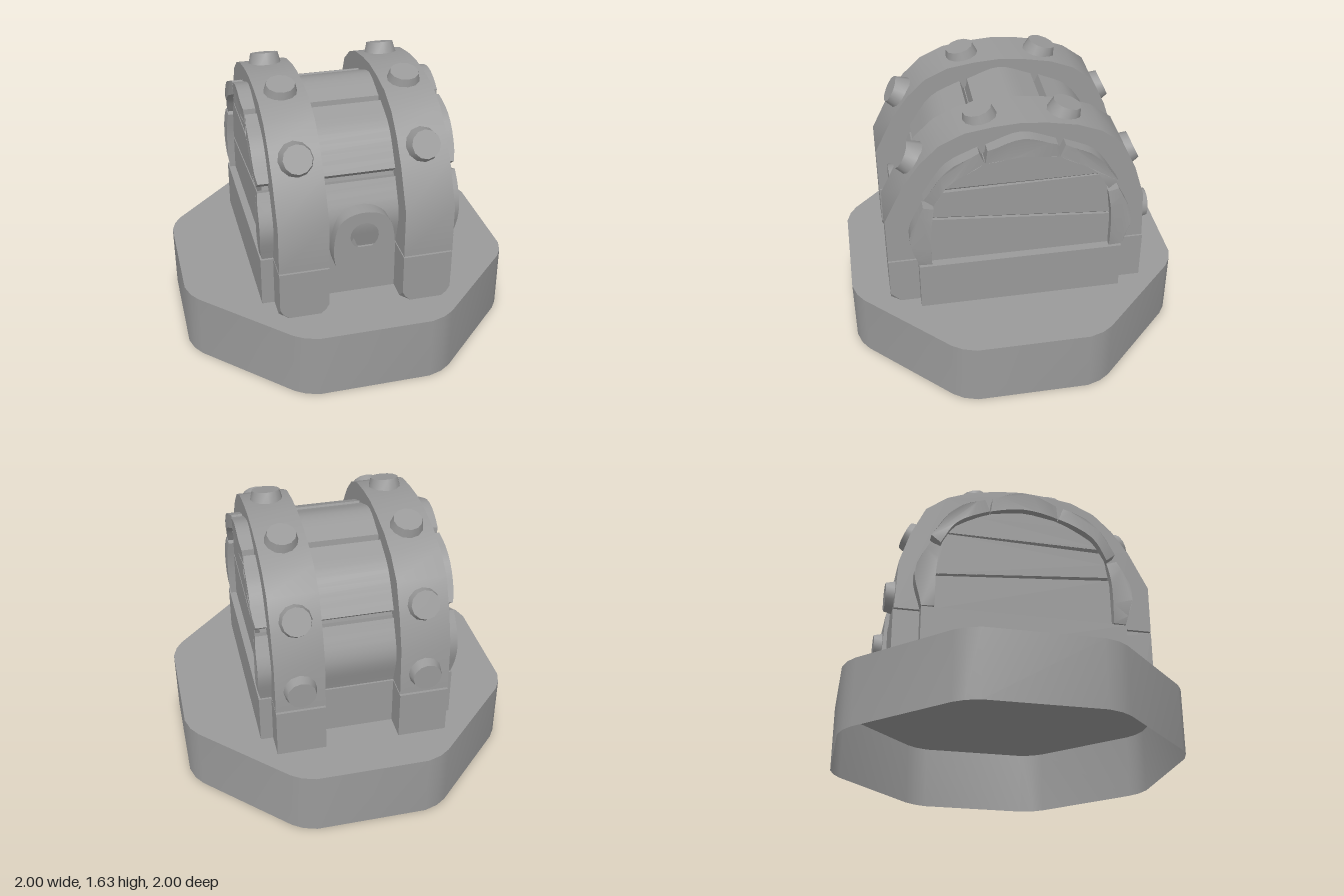
import * as THREE from 'three';
import { toCreasedNormals } from 'three/addons/utils/BufferGeometryUtils.js';
import { ConvexGeometry } from 'three/addons/geometries/ConvexGeometry.js';

const material = new THREE.MeshStandardMaterial({ color: 0x9a9a9a });
const shell = new THREE.MeshStandardMaterial({ color: 0x9a9a9a, side: THREE.DoubleSide });

function add(group, name, geometry, mat = material) {
  const mesh = new THREE.Mesh(geometry, mat);
  mesh.name = name;
  group.add(mesh);
  return mesh;
}

// Extrudes a [z, y] profile along x, symmetric about x = centre.
function extrudeX(points, centre, halfWidth) {
  const shape = new THREE.Shape(points.map(([z, y]) => new THREE.Vector2(-z, y)));
  const geometry = new THREE.ExtrudeGeometry(shape, { depth: 2 * halfWidth, bevelEnabled: false });
  return geometry.translate(0, 0, centre - halfWidth).rotateY(Math.PI / 2);
}

// Smooth curve through a few points.
function smooth(points, divisions = 8, closed = false) {
  const curve = new THREE.CatmullRomCurve3(points.map(([a, b]) => new THREE.Vector3(a, b, 0)), closed);
  const list = curve.getPoints(divisions).map((p) => [p.x, p.y]);
  return closed ? list.slice(0, -1) : list;
}

const flip = (points) => points.map(([z, y]) => [-z, y]);

// Octagonal plinth with eased corners, open underneath.
function buildPlinth(group) {
  const corner = [[0.33, 1], [0.41, 0.975], [0.47, 0.935], [0.935, 0.47], [0.975, 0.41], [1, 0.33]];
  const outline = [];
  for (let k = 0; k < 4; k++) {
    const c = Math.round(Math.cos(k * Math.PI / 2)), s = Math.round(Math.sin(k * Math.PI / 2));
    corner.forEach(([x, z]) => outline.push([x * c + z * s, z * c - x * s]));
  }
  const positions = [];
  outline.forEach(([x, z], i) => {
    const [u, w] = outline[(i + 1) % outline.length];
    positions.push(x, 0, z, u, 0, w, u, 0.4, w, x, 0, z, u, 0.4, w, x, 0.4, z);
    positions.push(0, 0.4, 0, x, 0.4, z, u, 0.4, w);
  });
  const geometry = new THREE.BufferGeometry();
  geometry.setAttribute('position', new THREE.Float32BufferAttribute(positions, 3));
  add(group, 'plinth', toCreasedNormals(geometry, 0.5), shell);
}

// A curved plank whose ends draw in slightly towards its long edges.
function plank(points) {
  const geometry = extrudeX(points, 0, 0.585);
  const angle = (z, y) => Math.atan2(z, y - 0.6);
  const angles = points.map(([z, y]) => angle(z, y));
  const low = Math.min(...angles), high = Math.max(...angles);
  const p = geometry.attributes.position;
  for (let i = 0; i < p.count; i++) {
    const t = (2 * angle(p.getZ(i), p.getY(i)) - low - high) / (high - low);
    p.setX(i, p.getX(i) * (1 - 0.025 * t ** 4));
  }
  return toCreasedNormals(geometry, 0.6);
}

// Curved planks of the lid: one on top, two on each side.
function buildPlanks(group) {
  const top = [
    ...smooth([[0.195, 1.46], [0, 1.522], [-0.195, 1.46]]),
    ...smooth([[-0.205, 1.375], [0, 1.405], [0.205, 1.375]]),
  ];
  const upper = [
    ...smooth([[0.555, 1.17], [0.42, 1.36], [0.24, 1.45]]),
    ...smooth([[0.21, 1.375], [0.41, 1.265], [0.5, 1.125]]),
  ];
  const lower = [
    ...smooth([[0.6, 0.71], [0.645, 0.92], [0.56, 1.12]]),
    ...smooth([[0.5, 1.1], [0.522, 0.95], [0.525, 0.71]]),
  ];
  add(group, 'topPlank', plank(top));
  for (const [end, side] of [['front', (p) => p], ['back', flip]]) {
    add(group, end + 'UpperPlank', plank(side(upper)));
    add(group, end + 'LowerPlank', plank(side(lower)));
  }
}

// Arched core of the lid, with end boards that leave narrow slanted slits.
function buildEnds(group) {
  const arch = smooth([[0.47, 1.21], [0.41, 1.265], [0.2, 1.375], [0, 1.405], [-0.2, 1.375], [-0.41, 1.265], [-0.465, 1.215]], 18);
  add(group, 'lidCore', toCreasedNormals(
    extrudeX([[0.52, 0.71], [0.515, 1.05], ...arch, [-0.515, 1.05], [-0.52, 0.71]], 0, 0.51), 0.5));
  const boards = [
    [[0.525, 0.71], [0.52, 1.005], [-0.525, 0.92], [-0.525, 0.71]],
    [[0.52, 1.025], [0.5, 1.11], [0.48, 1.185], [-0.465, 1.205], [-0.5, 1.11], [-0.522, 0.935]],
    arch,
  ];
  boards.forEach((board, i) => add(group, 'endBoard' + (i + 1), toCreasedNormals(extrudeX(board, 0, 0.54), 0.5)));

  // Slanted undersides inside the slits: height, slope and length of each.
  for (const [y, slope, length] of [[0.98, 0.0865, 1.02], [1.212, -0.005, 0.93]]) {
    for (const x of [-0.515, 0.515]) {
      const bevel = add(group, 'slitBevel', new THREE.BoxGeometry(0.032, 0.032, length));
      bevel.position.set(x, y, 0);
      bevel.rotation.set(-Math.atan(slope), 0, Math.PI / 4);
    }
  }
}

// Arched bands over the lid, their feet on the body, and their rivets.
function buildBands(group) {
  const outer = [
    [0.775, 0.71], [0.775, 1], [0.66, 1.23], [0.56, 1.37], [0.45, 1.475], [0.31, 1.54], [0.15, 1.565], [0, 1.575],
    [-0.15, 1.562], [-0.32, 1.53], [-0.46, 1.475], [-0.585, 1.38], [-0.67, 1.2], [-0.73, 1.01], [-0.745, 0.71],
  ];
  const inner = [];
  for (let i = 0; i <= 14; i++) {
    const t = Math.PI * (1 - i / 14);
    inner.push([0.615 * Math.cos(t), 0.8 + 0.65 * Math.sin(t)]);
  }
  const profile = [...outer, [-0.59, 0.71], ...inner, [0.59, 0.71]];
  // Cap centre (z, y) and outward direction of each rivet.
  const rivets = [
    [0.655, 1.353, 0.88, 0.48], [0.22, 1.607, 0.23, 0.97], [-0.29, 1.593, -0.31, 0.95],
    [-0.685, 1.27, -0.9, 0.43], [-0.79, 0.843, -1, 0],
  ];
  const rivetGeometry = toCreasedNormals(new THREE.CylinderGeometry(0.083, 0.106, 0.09, 12).translate(0, -0.045, 0), 0.6);
  for (const [side, x] of [['left', 0.363], ['right', -0.363]]) {
    const band = new THREE.Group();
    band.name = side + 'Band';
    group.add(band);
    add(band, 'arch', toCreasedNormals(extrudeX(profile, x, 0.144), 0.5));

    // Foot with its two lower front corners cut off.
    const points = [];
    for (const s of [-1, 1]) {
      const e = x + s * 0.144;
      points.push([e, 0.7, 0.775], [e, 0.7, -0.75], [e, 0.4, -0.75]);
      points.push([e, 0.46, 0.775], [e, 0.4, 0.715], [e - s * 0.05, 0.4, 0.775], [e - s * 0.02, 0.425, 0.775]);
    }
    add(band, 'foot', new ConvexGeometry(points.map((p) => new THREE.Vector3(...p))));

    for (const [z, y, nz, ny] of rivets) {
      const rivet = add(band, 'rivet', rivetGeometry);
      rivet.position.set(x, y, z);
      rivet.rotation.x = Math.atan2(nz, ny);
    }
  }
}

// Rounded lock plate with a keyhole.
function buildLock(group) {
  const outline = smooth([
    [0.06, 0.995], [0.14, 0.945], [0.175, 0.83], [0.172, 0.69], [0.14, 0.615], [0.06, 0.59],
    [-0.06, 0.59], [-0.14, 0.615], [-0.172, 0.69], [-0.175, 0.83], [-0.14, 0.945], [-0.06, 0.995],
  ], 36, true);
  const shape = new THREE.Shape(outline.map(([x, y]) => new THREE.Vector2(x, y)));
  const hole = new THREE.Path();
  hole.moveTo(-0.07, 0.69);
  hole.lineTo(-0.038, 0.78);
  hole.absarc(0, 0.85, 0.083, -2.09, -1.05, true);
  hole.lineTo(0.07, 0.69);
  hole.quadraticCurveTo(0.07, 0.665, 0.045, 0.66);
  hole.lineTo(-0.045, 0.66);
  hole.quadraticCurveTo(-0.07, 0.665, -0.07, 0.69);
  shape.holes.push(hole);
  const geometry = new THREE.ExtrudeGeometry(shape, { depth: 0.135, bevelEnabled: false, curveSegments: 8 });
  add(group, 'lockPlate', toCreasedNormals(geometry.translate(0, 0, 0.58), 0.6));
}

export function createModel() {
  const model = new THREE.Group();
  model.name = 'treasureChest';
  buildPlinth(model);
  add(model, 'body', new THREE.BoxGeometry(1.16, 0.3, 1.2).translate(0, 0.55, 0));
  buildPlanks(model);
  buildEnds(model);
  buildBands(model);
  buildLock(model);
  return model;
}
